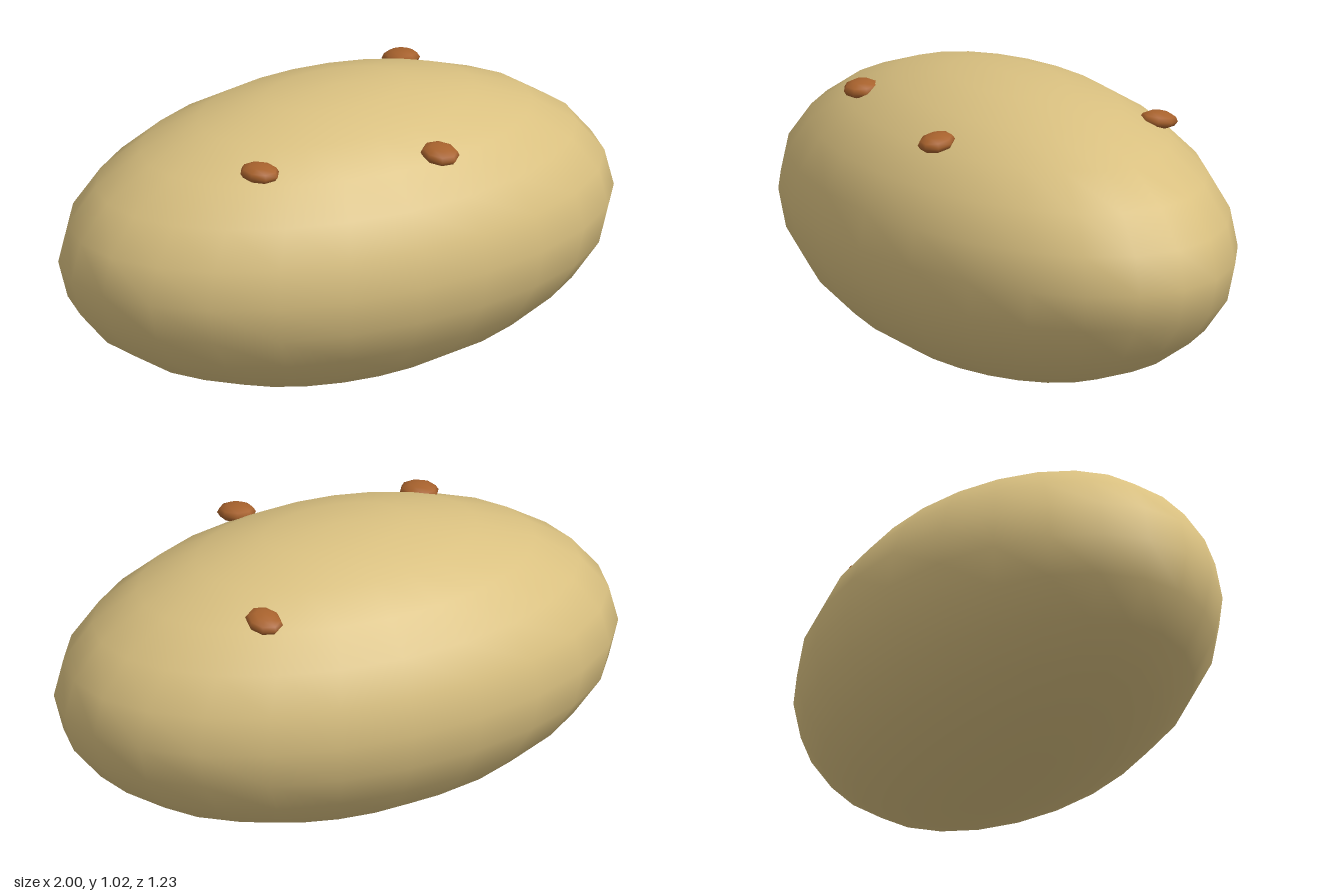
import * as THREE from 'three';

export function createModel() {
  const group = new THREE.Group();
  const skin = new THREE.MeshStandardMaterial({ color: 0xd9c080 });
  const brown = new THREE.MeshStandardMaterial({ color: 0xa8622d });

  // Smooth, faceted-outline ellipsoid
  const ellipsoid = (name, material, segments, rings, radii, position) => {
    const mesh = new THREE.Mesh(new THREE.SphereGeometry(1, segments, rings), material);
    mesh.name = name;
    mesh.scale.set(...radii);
    mesh.position.set(...position);
    group.add(mesh);
    return mesh;
  };

  // Potato body
  ellipsoid('tuberBody', skin, 24, 12, [1, 0.508, 0.613], [0, 0.51, 0]);

  // Small sprout buds half sunk in the skin: position, then tilt and turn
  const buds = [
    [[0.17, 0.896, 0.42], 0.13, 0.35],
    [[-0.44, 0.902, 0.285], 0.04, 0.55],
    [[0.415, 0.9, -0.32], -0.18, 0.2],
  ];
  buds.forEach(([position, tilt, turn], i) => {
    const bud = ellipsoid(`bud${i + 1}`, brown, 8, 6, [0.06, 0.03, 0.07], position);
    bud.rotation.set(tilt, turn, 0);
  });

  return group;
}
